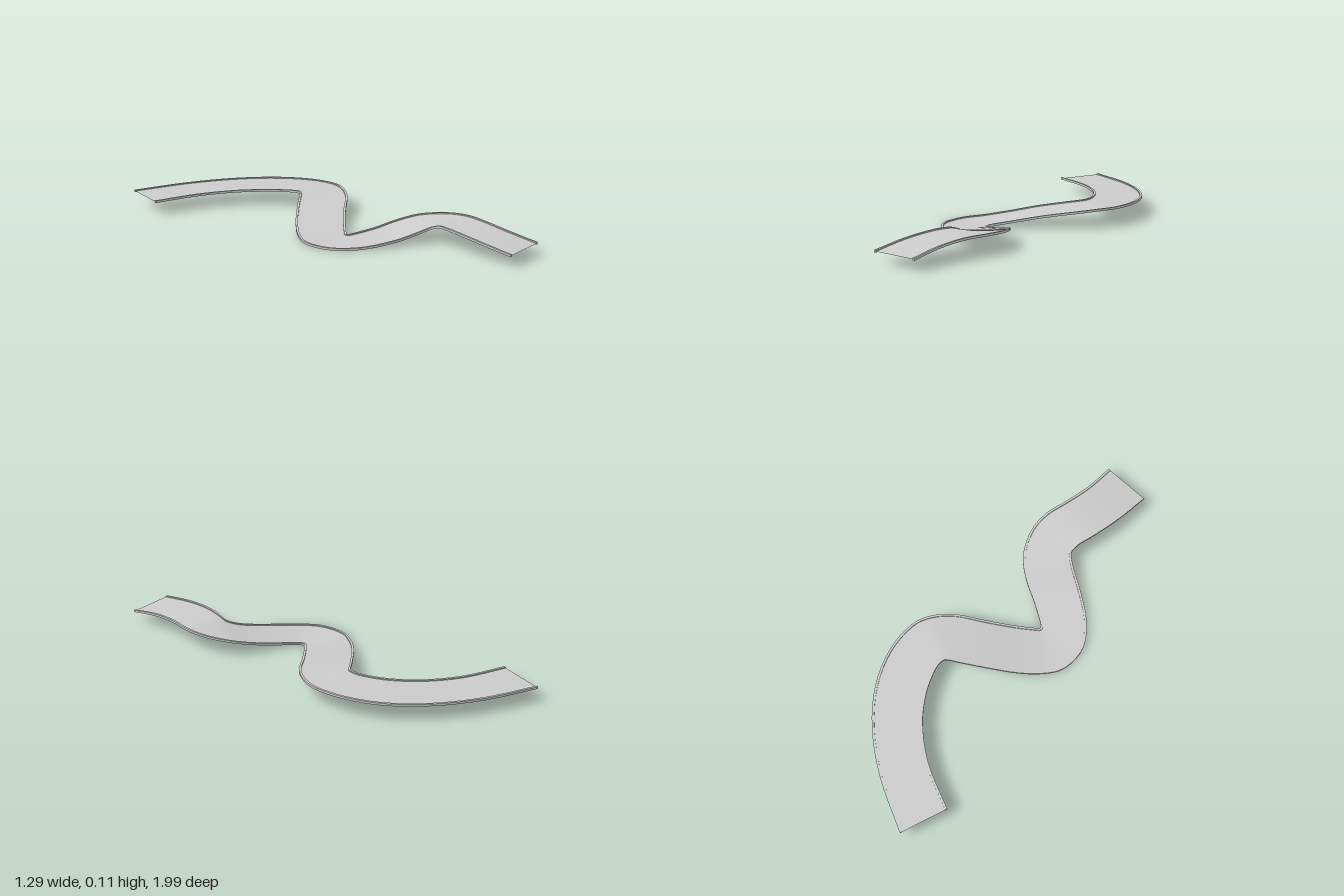
import * as THREE from 'three';

// Stations along the road: outer edge x, z, inner edge x, z, height
const STATIONS = [
  [-0.65, -0.995, -0.65, -0.73, 0.074], [-0.35, -0.96, -0.4, -0.71, 0.078],
  [-0.1, -0.885, -0.2, -0.645, 0.083], [0.1, -0.77, -0.06, -0.555, 0.088],
  [0.24, -0.62, 0.03, -0.46, 0.094], [0.312, -0.46, 0.057, -0.405, 0.097],
  [0.31, -0.34, 0.05, -0.375, 0.095], [0.26, -0.22, 0, -0.31, 0.083],
  [0.17, -0.1, -0.08, -0.2, 0.062], [0.08, 0.03, -0.16, -0.08, 0.034],
  [0.022, 0.125, -0.22, 0.04, 0.015], [0.012, 0.145, -0.245, 0.16, 0.009],
  [0.018, 0.155, -0.19, 0.3, 0.008], [0.04, 0.165, -0.06, 0.39, 0.012],
  [0.16, 0.188, 0.1, 0.437, 0.03], [0.28, 0.205, 0.22, 0.46, 0.055],
  [0.4, 0.25, 0.29, 0.485, 0.08], [0.5, 0.35, 0.305, 0.52, 0.096],
  [0.55, 0.47, 0.31, 0.555, 0.104], [0.565, 0.6, 0.32, 0.66, 0.102],
  [0.592, 0.75, 0.35, 0.82, 0.086], [0.645, 0.91, 0.4, 0.995, 0.06],
];
const SEGMENTS = (STATIONS.length - 1) * 4;
const KERB = 0.012;

const edgeCurve = (i) => new THREE.CatmullRomCurve3(
  STATIONS.map((s) => new THREE.Vector3(s[i], s[4], s[i + 1])), false, 'catmullrom', 0.5);
const outer = edgeCurve(0), inner = edgeCurve(2);

// Sweep one straight side between two corners: [distance in from the edge, height offset]
function addStrip(positions, indices, from, to, c0, c1) {
  const base = positions.length / 3;
  for (let i = 0; i <= SEGMENTS; i++) {
    const a = from.getPoint(i / SEGMENTS), b = to.getPoint(i / SEGMENTS);
    const across = b.clone().sub(a).normalize();
    for (const [d, h] of [c0, c1]) {
      // a negative distance is measured from the opposite edge
      const p = (d < 0 ? b : a).clone().addScaledVector(across, d);
      positions.push(p.x, p.y + h, p.z);
    }
    if (i < SEGMENTS) {
      const k = base + i * 2;
      indices.push(k, k + 1, k + 2, k + 1, k + 3, k + 2);
    }
  }
}

function makeMesh(name, color, build) {
  const positions = [], indices = [];
  build(positions, indices);
  const geometry = new THREE.BufferGeometry();
  geometry.setAttribute('position', new THREE.Float32BufferAttribute(positions, 3));
  geometry.setIndex(indices);
  geometry.computeVertexNormals();
  const mesh = new THREE.Mesh(geometry,
    new THREE.MeshStandardMaterial({ color, side: THREE.DoubleSide }));
  mesh.name = name;
  return mesh;
}

// Slim square kerb running along one edge; the order of corners follows the side
function makeKerb(name, from, to, flip) {
  const h = KERB / 2;
  const corners = [[0, h], [KERB, h], [KERB, -h], [0, -h]];
  if (flip) corners.reverse();
  return makeMesh(name, 0xffffff, (positions, indices) => {
    for (let i = 0; i < 4; i++) {
      addStrip(positions, indices, from, to, corners[i], corners[(i + 1) % 4]);
    }
    // end caps
    for (const end of [0, SEGMENTS]) {
      const base = positions.length / 3;
      for (let i = 0; i < 4; i++) {
        const k = (i * (SEGMENTS + 1) + end) * 2 * 3;
        positions.push(positions[k], positions[k + 1], positions[k + 2]);
      }
      indices.push(...(end ? [0, 1, 2, 0, 2, 3] : [2, 1, 0, 3, 2, 0]).map((n) => base + n));
    }
  });
}

export function createModel() {
  const model = new THREE.Group();
  model.name = 'windingRoad';

  // Road surface between the kerbs
  const surface = makeMesh('roadSurface', 0xcccccc, (positions, indices) =>
    addStrip(positions, indices, outer, inner, [KERB, 0], [-KERB, 0]));
  // Turn the winding if the sheet faces down
  if (surface.geometry.attributes.normal.getY(0) < 0) {
    surface.geometry.index.array.reverse();
    surface.geometry.computeVertexNormals();
  }
  model.add(surface);

  // Kerbs on both edges
  model.add(makeKerb('outerKerb', outer, inner, true));
  model.add(makeKerb('innerKerb', inner, outer, false));
  return model;
}
